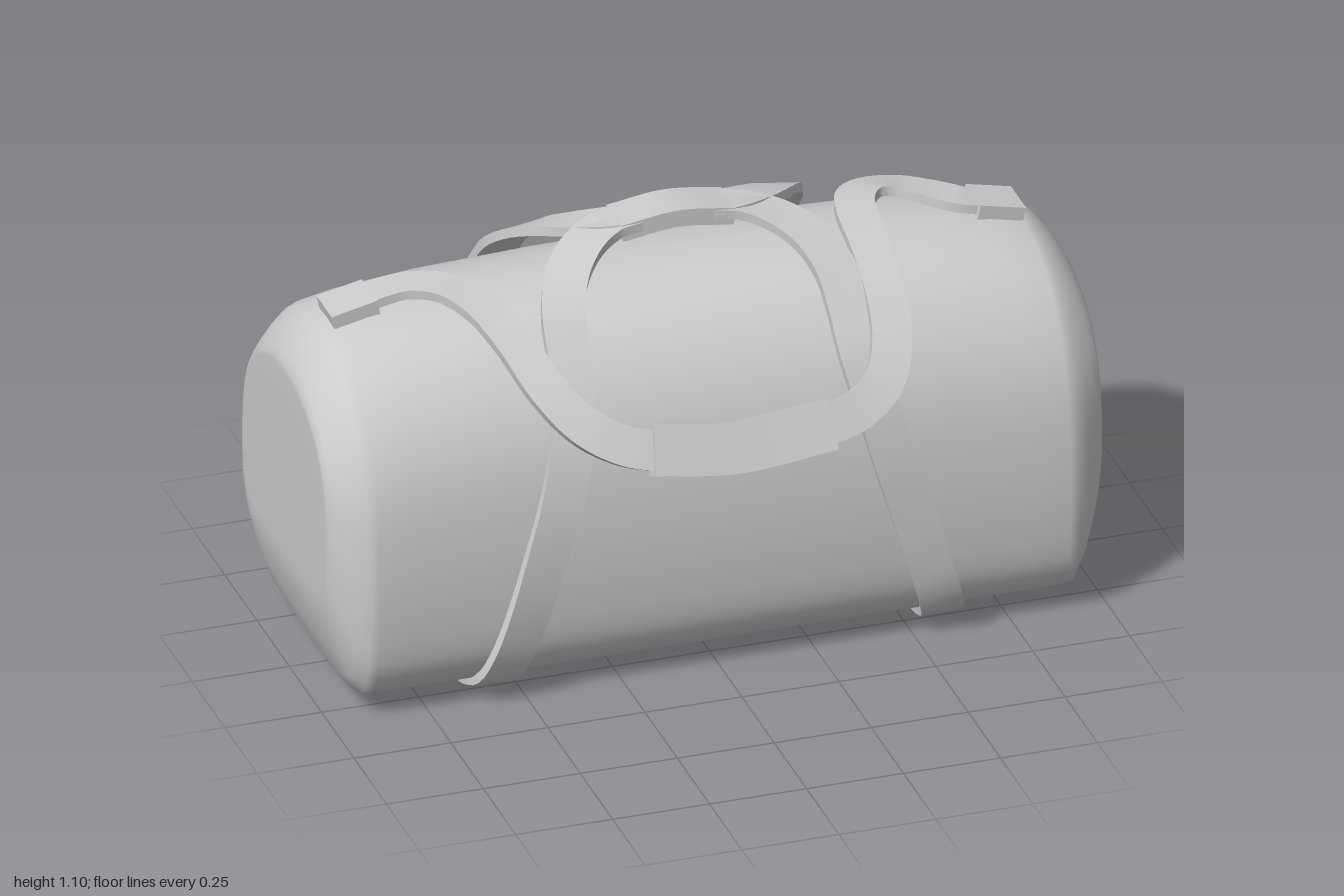
import * as THREE from 'three';
import { toCreasedNormals } from 'three/addons/utils/BufferGeometryUtils.js';

const ZC = -0.04; // depth centre of the bag
const material = new THREE.MeshStandardMaterial({ color: 0xcccccc });

function makeMesh(geometry, name) {
  const m = new THREE.Mesh(geometry, material);
  m.name = name;
  return m;
}

// Skin a list of equal rings (each counter-clockwise about the direction of travel)
function skin(rings, capped) {
  const n = rings[0].length, pos = [], index = [];
  rings.forEach(r => r.forEach(p => pos.push(p.x, p.y, p.z)));
  for (let s = 0; s < rings.length - 1; s++) {
    for (let i = 0; i < n; i++) {
      const j = (i + 1) % n, a = s * n + i, b = s * n + j;
      index.push(a, b, b + n, a, b + n, a + n);
    }
  }
  if (capped) {
    const e = (rings.length - 1) * n;
    for (let i = 1; i < n - 1; i++) index.push(0, i + 1, i, e, e + i, e + i + 1);
  }
  const g = new THREE.BufferGeometry();
  g.setAttribute('position', new THREE.Float32BufferAttribute(pos, 3));
  g.setIndex(index);
  g.computeVertexNormals();
  return g;
}

// Flat webbing along a path, its broad face turned away from the bag's core
function ribbon(points, width, thick, steps, name) {
  const curve = new THREE.CatmullRomCurve3(points.map(p => new THREE.Vector3(...p)));
  const rings = [];
  for (let s = 0; s <= steps; s++) {
    const p = curve.getPointAt(s / steps), t = curve.getTangentAt(s / steps);
    const n = new THREE.Vector3(0, p.y - 0.45, p.z - ZC);
    n.addScaledVector(t, -n.dot(t)).normalize();
    const b = new THREE.Vector3().crossVectors(t, n);
    rings.push([[-1, 1], [1, 1], [1, -1], [-1, -1]].map(([u, v]) =>
      p.clone().addScaledVector(b, u * width / 2).addScaledVector(n, v * thick / 2)));
  }
  return makeMesh(toCreasedNormals(skin(rings, true), 0.7), name);
}

// Bag body: an arched cross-section lofted along x
function body() {
  const half = [[0, 0], [0.3, 0.001], [0.55, 0.006], [0.73, 0.021], [0.86, 0.055], [0.95, 0.13],
    [0.985, 0.22], [1, 0.36], [0.985, 0.5], [0.95, 0.62], [0.885, 0.72], [0.775, 0.815],
    [0.6, 0.905], [0.4, 0.96], [0.2, 0.99], [0, 1]];
  const curve = new THREE.CatmullRomCurve3(half.map(([u, v]) => new THREE.Vector3(u, v, 0)));
  const side = curve.getPoints(45);
  const profile = [...side.map(p => [-p.x, p.y]),
    ...side.slice(1, -1).reverse().map(p => [p.x, p.y])];
  // x, half width, top, bottom
  const ends = [[0.3, 0.42, 0.98, 0.024], [0.6, 0.42, 0.968, 0.024], [0.8, 0.42, 0.947, 0.024],
    [0.89, 0.42, 0.927, 0.026], [0.915, 0.415, 0.915, 0.031], [0.945, 0.392, 0.89, 0.075],
    [0.97, 0.368, 0.86, 0.145], [0.988, 0.348, 0.833, 0.21], [0.998, 0.332, 0.812, 0.26],
    [1, 0.315, 0.795, 0.3], [1, 0.2, 0.7, 0.4], [1, 0, 0.55, 0.55]];
  const sections = [...ends.map(([x, ...r]) => [-x, ...r]).reverse(), [0, 0.42, 0.982, 0.024], ...ends];
  const rings = sections.map(([x, w, top, bottom]) => profile.map(([u, v]) =>
    new THREE.Vector3(x, bottom + (top - bottom) * v, ZC + u * w)));
  return makeMesh(skin(rings, false), 'bagBody');
}

export function createModel() {
  const group = new THREE.Group();
  group.add(body());

  // Carry straps: from the handle down the front, underneath and up the back
  const drop = [[0.1, 1.072, 0], [0.17, 1.068, 0.012], [0.25, 1.05, 0.06], [0.315, 1.015, 0.135],
    [0.352, 0.955, 0.215], [0.362, 0.88, 0.285], [0.367, 0.8, 0.347], [0.39, 0.69, 0.397],
    [0.425, 0.55, 0.424], [0.47, 0.4, 0.432], [0.515, 0.25, 0.428], [0.55, 0.14, 0.41],
    [0.572, 0.07, 0.372], [0.583, 0.03, 0.29], [0.585, 0.014, 0.18]];
  for (const s of [1, -1]) {
    const path = [
      ...drop.map(([x, y, d]) => [s * x, y, ZC + d]),
      [s * 0.585, 0.012, ZC],
      ...drop.map(([x, y, d]) => [s * x, y, ZC - d]).reverse(),
    ];
    group.add(ribbon(path, 0.108, 0.024, 130, s > 0 ? 'leftCarryStrap' : 'rightCarryStrap'));
  }
  group.add(ribbon([[-0.145, 1.06, -0.047], [0, 1.078, -0.047], [0.145, 1.06, -0.047]],
    0.118, 0.045, 14, 'handleGrip'));

  // Shoulder strap, draped over the front
  const shoulder = [[-0.82, 0.955, -0.047], [-0.76, 0.97, -0.047], [-0.68, 0.985, -0.035],
    [-0.595, 0.988, 0.02], [-0.535, 0.965, 0.1], [-0.49, 0.915, 0.205], [-0.44, 0.83, 0.32],
    [-0.37, 0.755, 0.388], [-0.28, 0.705, 0.422], [-0.2, 0.685, 0.435], [0, 0.662, 0.44],
    [0.24, 0.68, 0.435], [0.33, 0.702, 0.42], [0.405, 0.75, 0.385], [0.445, 0.83, 0.32],
    [0.457, 0.92, 0.22], [0.46, 0.975, 0.1], [0.465, 0.997, 0], [0.487, 1.003, -0.085],
    [0.535, 0.998, -0.135], [0.6, 0.99, -0.142], [0.67, 0.982, -0.105], [0.75, 0.97, -0.055],
    [0.82, 0.955, -0.047]];
  group.add(ribbon(shoulder, 0.1, 0.024, 150, 'shoulderStrap'));
  group.add(ribbon([[-0.21, 0.687, 0.435], [0, 0.662, 0.44], [0.25, 0.682, 0.435]],
    0.128, 0.05, 14, 'shoulderPad'));

  // Tabs anchoring the shoulder strap
  for (const s of [1, -1]) {
    const tab = makeMesh(new THREE.BoxGeometry(0.12, 0.042, 0.118), s > 0 ? 'leftTab' : 'rightTab');
    tab.position.set(s * 0.832, 0.95, -0.045);
    tab.rotation.z = -s * 0.22;
    group.add(tab);
  }
  return group;
}
